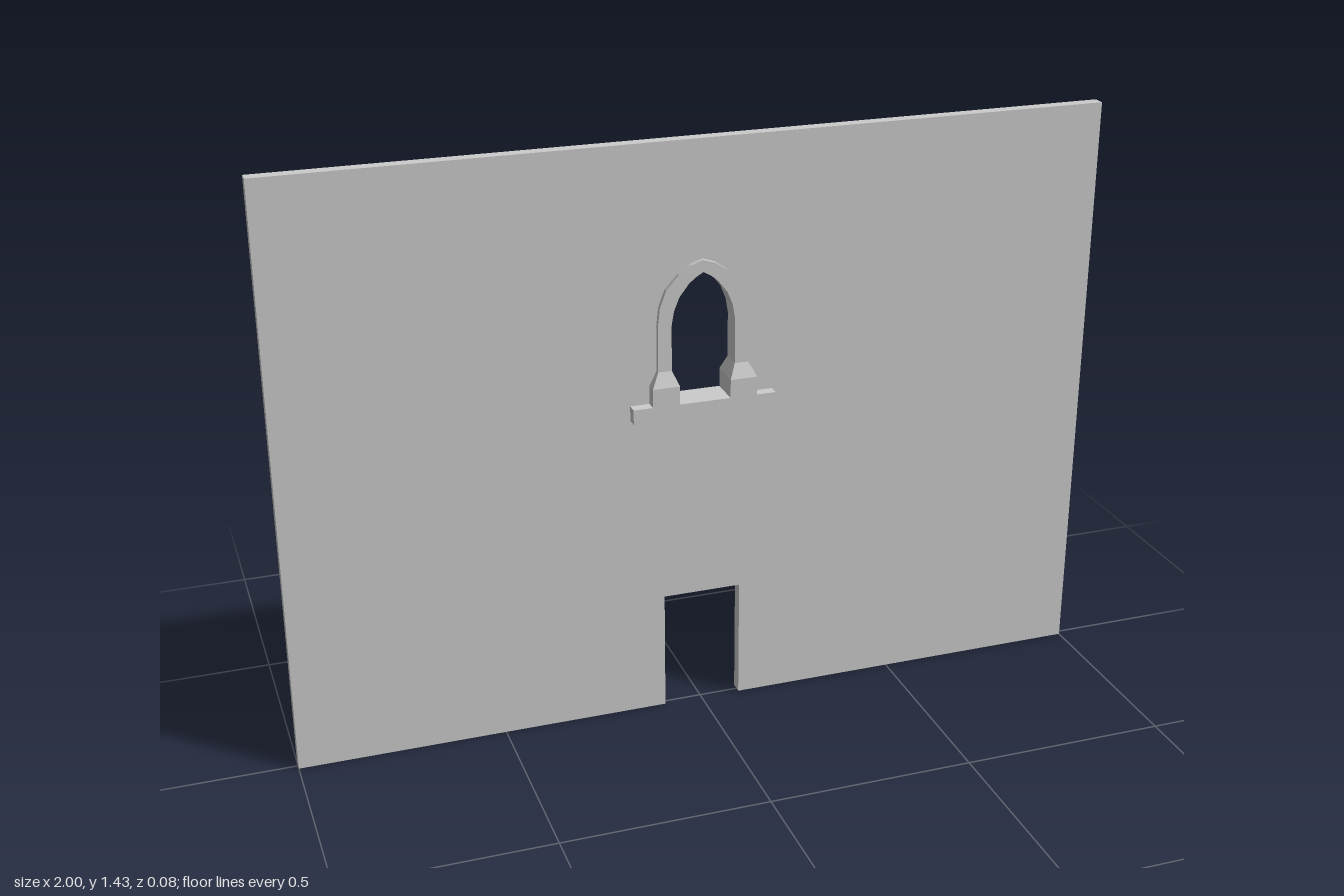
import * as THREE from 'three';

// One side of the window frame, foot to apex: [inner x, inner y, outer x, outer y, half depth]
const SIDE = [
  [0.062, 0.81, 0.128, 0.81, 0.04],
  [0.062, 0.855, 0.128, 0.855, 0.04],
  [0.077, 0.89, 0.11, 0.89, 0.025],
  [0.077, 1.0, 0.11, 1.0, 0.025],
  [0.071, 1.035, 0.105, 1.045, 0.025],
  [0.058, 1.067, 0.09, 1.085, 0.025],
  [0.034, 1.098, 0.058, 1.121, 0.025],
  [0.016, 1.112, 0.03, 1.14, 0.025],
  [0, 1.121, 0, 1.15, 0.025],
];
const mirror = (list) => list.slice(0, -1).reverse();
const FULL = [...SIDE, ...mirror(SIDE).map(([a, b, c, d, e]) => [-a, b, -c, d, e])];

// Sweep of four-cornered sections around the arch
function frameGeometry() {
  const rings = FULL.map(([ix, iy, ox, oy, d]) => [[ix, iy, d], [ox, oy, d], [ox, oy, -d], [ix, iy, -d]]);
  const pos = [];
  for (let i = 0; i < rings.length - 1; i++) {
    for (let k = 0; k < 4; k++) {
      const n = (k + 1) % 4;
      const a = rings[i][k], b = rings[i][n], c = rings[i + 1][n], d = rings[i + 1][k];
      pos.push(...a, ...b, ...c, ...a, ...c, ...d);
    }
  }
  const geo = new THREE.BufferGeometry();
  geo.setAttribute('position', new THREE.Float32BufferAttribute(pos, 3));
  geo.computeVertexNormals();
  return geo;
}

// Wall slab with a doorway notch and an arched window hole hidden inside the frame
function wallGeometry() {
  const shape = new THREE.Shape([
    [-1, 0], [-0.095, 0], [-0.095, 0.3], [0.097, 0.3], [0.097, 0], [1, 0], [1, 1.43], [-1, 1.43],
  ].map(([x, y]) => new THREE.Vector2(x, y)));
  const hole = FULL.map(([ix, iy, ox, oy]) => new THREE.Vector2((ix + ox) / 2, Math.max((iy + oy) / 2, 0.8)));
  hole[0].y = hole[hole.length - 1].y = 0.795;
  shape.holes.push(new THREE.Path(hole));
  const geo = new THREE.ExtrudeGeometry(shape, { depth: 0.03, bevelEnabled: false });
  geo.translate(0, 0, -0.017);
  return geo;
}

export function createModel() {
  const group = new THREE.Group();
  const material = new THREE.MeshStandardMaterial({ color: 0xcccccc, flatShading: true });
  const add = (name, geometry) => {
    const mesh = new THREE.Mesh(geometry, material);
    mesh.name = name;
    group.add(mesh);
    return mesh;
  };
  add('wall', wallGeometry());
  add('windowFrame', frameGeometry());
  add('windowSill', new THREE.BoxGeometry(0.35, 0.036, 0.08)).position.set(0, 0.792, 0);
  return group;
}
